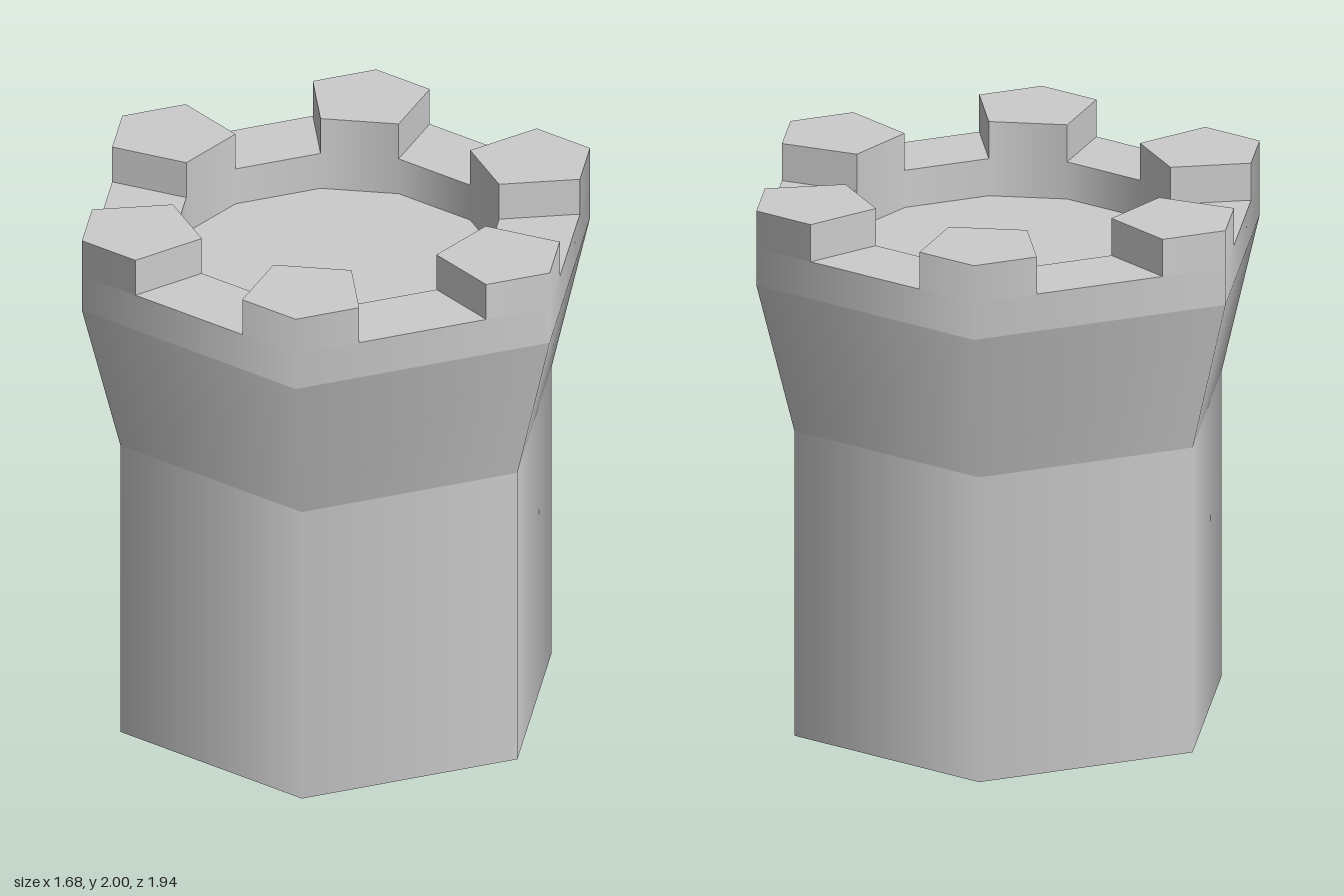
import * as THREE from 'three';

const SIDES = 6;
const BASE_R = 0.825, TOP_R = 0.972, INNER_R = 0.65;
const SHAFT_TOP = 1.15, FLARE_TOP = 1.72, GAP_Y = 1.86, TOP_Y = 2;

// point on a hexagon with a corner at +z, t counted in edges from that corner
function hexPoint(r, t) {
  const k = Math.floor(t), f = t - k, a = k * Math.PI / 3, b = a + Math.PI / 3;
  return [
    r * (Math.sin(a) * (1 - f) + Math.sin(b) * f),
    r * (Math.cos(a) * (1 - f) + Math.cos(b) * f),
  ];
}

// collects flat polygons and walls with smooth radial normals
class Builder {
  pos = [];
  nor = [];
  // convex polygon as a fan; radial: 1 outward, -1 inward, 0 flat
  face(points, radial = 0) {
    const v = points.map((p) => new THREE.Vector3(...p));
    const flat = v[1].clone().sub(v[0]).cross(v[2].clone().sub(v[0])).normalize();
    for (let i = 1; i < v.length - 1; i++) {
      for (const p of [v[0], v[i], v[i + 1]]) {
        const n = radial ? new THREE.Vector3(p.x, 0, p.z).normalize().multiplyScalar(radial) : flat;
        this.pos.push(p.x, p.y, p.z);
        this.nor.push(n.x, n.y, n.z);
      }
    }
  }
  wall(a, b, y0, y1, radial = 0) {
    this.face([[a[0], y0, a[1]], [b[0], y0, b[1]], [b[0], y1, b[1]], [a[0], y1, a[1]]], radial);
  }
  level(points, y) {
    this.face(points.map(([x, z]) => [x, y, z]));
  }
  build() {
    const g = new THREE.BufferGeometry();
    g.setAttribute('position', new THREE.Float32BufferAttribute(this.pos, 3));
    g.setAttribute('normal', new THREE.Float32BufferAttribute(this.nor, 3));
    return g;
  }
}

export function createModel() {
  const group = new THREE.Group();
  const material = new THREE.MeshStandardMaterial({ color: 0xcccccc });
  const add = (name, geometry, parent = group) => {
    const mesh = new THREE.Mesh(geometry, material);
    mesh.name = name;
    parent.add(mesh);
    return mesh;
  };

  // hexagonal shaft and the flare above it
  const band = (r0, r1, y0, y1) =>
    new THREE.CylinderGeometry(r1, r0, y1 - y0, SIDES, 1, true).translate(0, (y0 + y1) / 2, 0);
  add('shaft', band(BASE_R, BASE_R, 0, SHAFT_TOP));
  add('flare', band(BASE_R, TOP_R, SHAFT_TOP, FLARE_TOP));
  add('base', new THREE.CircleGeometry(BASE_R, SIDES).rotateZ(Math.PI / 2).rotateX(Math.PI / 2));

  // key points of one sixth of the battlements
  const corner = hexPoint(TOP_R, 0), nextCorner = hexPoint(TOP_R, 1);
  const [outA, outB, outC] = [-0.25, 0.25, 0.75].map((t) => hexPoint(TOP_R, t));
  const [inA, inB, inC] = [-0.25, 0.25, 0.75].map((t) => hexPoint(INNER_R, t));

  // parapet below the merlons: outer wall, inner wall and gap sill
  const parapet = new Builder();
  parapet.wall(corner, nextCorner, FLARE_TOP, GAP_Y, 1);
  parapet.wall(inB, inA, FLARE_TOP, GAP_Y, -1);
  parapet.wall(inC, inB, FLARE_TOP, GAP_Y, -1);
  parapet.level([outB, outC, inC, inB], GAP_Y);

  // merlon wrapped round a corner
  const merlon = new Builder();
  merlon.wall(outA, corner, GAP_Y, TOP_Y, 1);
  merlon.wall(corner, outB, GAP_Y, TOP_Y, 1);
  merlon.wall(outB, inB, GAP_Y, TOP_Y);
  merlon.wall(inB, inA, GAP_Y, TOP_Y, -1);
  merlon.wall(inA, outA, GAP_Y, TOP_Y);
  merlon.level([outA, corner, outB, inB, inA], TOP_Y);

  // sunken twelve-sided floor
  const floor = new Builder();
  floor.level([[0, 0], inA, inB, inC], FLARE_TOP);

  const parts = { parapet: parapet.build(), merlon: merlon.build(), floor: floor.build() };
  for (const [name, geometry] of Object.entries(parts)) {
    const ring = new THREE.Group();
    ring.name = name + 'Ring';
    for (let i = 0; i < SIDES; i++) add(name, geometry, ring).rotation.y = i * Math.PI / 3;
    group.add(ring);
  }
  return group;
}
